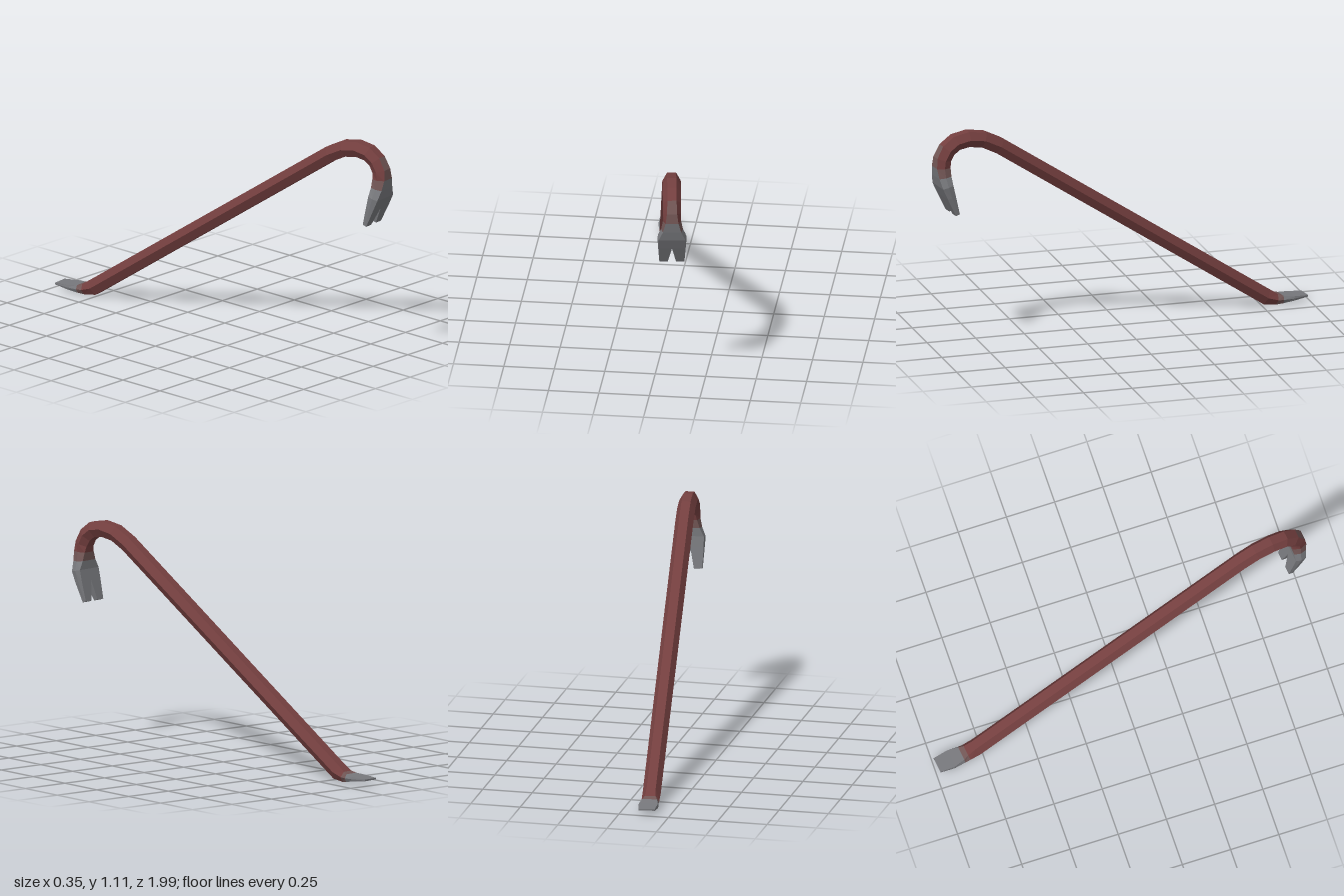
import * as THREE from 'three';

const paint = new THREE.MeshStandardMaterial({ color: 0x743f3f });
paint.name = 'red paint';
const worn = new THREE.MeshStandardMaterial({ color: 0x725655 });
worn.name = 'worn paint';
const steel = new THREE.MeshStandardMaterial({ color: 0x77787c });
steel.name = 'bare steel';
const materials = [paint, worn, steel];

const YAW = 0.125;

// Stations along the bar: z, y, flat half-width, ridge half-width, half-thickness
const S = [
  [-0.985, 0.03, 0.04, 0.04, 0.004],
  [-0.91, 0.028, 0.047, 0.05, 0.011],
  [-0.855, 0.026, 0.036, 0.045, 0.019],
  [-0.825, 0.028, 0.027, 0.044, 0.026],
  [-0.772, 0.046, 0.0225, 0.045, 0.039],
  [0.655, 1.013, 0.0225, 0.045, 0.039],
  [0.74, 1.056, 0.0225, 0.045, 0.039],
  [0.82, 1.069, 0.0225, 0.045, 0.039],
  [0.885, 1.058, 0.0225, 0.045, 0.039],
  [0.93, 1.025, 0.0225, 0.045, 0.039],
  [0.955, 0.98, 0.025, 0.045, 0.038],
  [0.96, 0.94, 0.032, 0.045, 0.036],
  [0.957, 0.895, 0.045, 0.054, 0.032],
  [0.951, 0.85, 0.066, 0.072, 0.028],
  [0.932, 0.795, 0.066, 0.069, 0.022],
  [0.898, 0.70, 0.062, 0.062, 0.011],
];

// Places a flat cross-section on the bar's path, square to its direction
function place(i, points) {
  const p = S[Math.max(i - 1, 0)], n = S[Math.min(i + 1, S.length - 1)];
  const unit = (a, b) => new THREE.Vector2(b[0] - a[0], b[1] - a[1]).normalize();
  const t = unit(p, S[i]).add(unit(S[i], n)).normalize();
  return points.map(([x, h]) =>
    new THREE.Vector3(x, S[i][1] + h * t.x, (S[i][0] - h * t.y) / Math.cos(YAW)));
}

function hexagon(i) {
  const [, , a, b, t] = S[i];
  return place(i, [[a, t], [b, 0], [a, -t], [-a, -t], [-b, 0], [-a, t]]);
}

// Half of the split claw, with its inner side at x = inner
function prongRing(i, inner, side) {
  const [, , a, b, t] = S[i];
  const pts = [[a, t], [b, 0], [a, -t], [inner, -t], [inner, 0], [inner, t]];
  return place(i, side > 0 ? pts : pts.map(([x, h]) => [-x, h]).reverse());
}

// Skins a row of rings with flat faces; colourOf(segment, face) picks a material
function loft(name, rings, colourOf, capStart, capEnd) {
  const buckets = materials.map(() => []);
  const tri = (m, ...v) => v.forEach((p) => buckets[m].push(p.x, p.y, p.z));
  const n = rings[0].length;
  for (let i = 0; i < rings.length - 1; i++) {
    for (let k = 0; k < n; k++) {
      const j = (k + 1) % n, m = colourOf(i, k);
      const A = rings[i][k], B = rings[i][j], C = rings[i + 1][j], D = rings[i + 1][k];
      tri(m, A, D, C);
      tri(m, A, C, B);
    }
  }
  const first = rings[0], last = rings[rings.length - 1];
  for (let k = 1; k < n - 1; k++) {
    if (capStart) tri(2, first[0], first[k], first[k + 1]);
    if (capEnd) tri(2, last[0], last[k + 1], last[k]);
  }
  const geo = new THREE.BufferGeometry();
  let start = 0;
  buckets.forEach((b, m) => {
    if (b.length) geo.addGroup(start, b.length / 3, m);
    start += b.length / 3;
  });
  geo.setAttribute('position', new THREE.Float32BufferAttribute(buckets.flat(), 3));
  geo.computeVertexNormals();
  const mesh = new THREE.Mesh(geo, materials);
  mesh.name = name;
  return mesh;
}

export function createModel() {
  const group = new THREE.Group();
  group.name = 'pryBar';
  const range = (a, b) => Array.from({ length: b - a + 1 }, (_, i) => hexagon(a + i));

  // Flat chisel end
  group.add(loft('chiselEnd', range(0, 2), () => 2, true, false));

  // Painted hexagonal shaft and hook; the outer face wears through sooner
  group.add(loft('shaftAndHook', range(2, 12), (i, k) => {
    const s = i + 2;
    if (s === 2) return 1;
    if (k === 5) return s >= 11 ? 2 : s >= 9 ? 1 : 0;
    return s >= 11 ? 1 : 0;
  }, false, false));

  // Flared claw, split into two prongs by a V notch
  group.add(loft('clawBase', range(12, 14), () => 2, false, false));
  for (const side of [1, -1]) {
    group.add(loft(side > 0 ? 'leftProng' : 'rightProng',
      [prongRing(14, 0, side), prongRing(15, 0.02, side)], () => 2, false, true));
  }

  group.rotation.y = YAW;
  group.position.x = -0.013;
  const model = new THREE.Group();
  model.add(group);
  return model;
}
